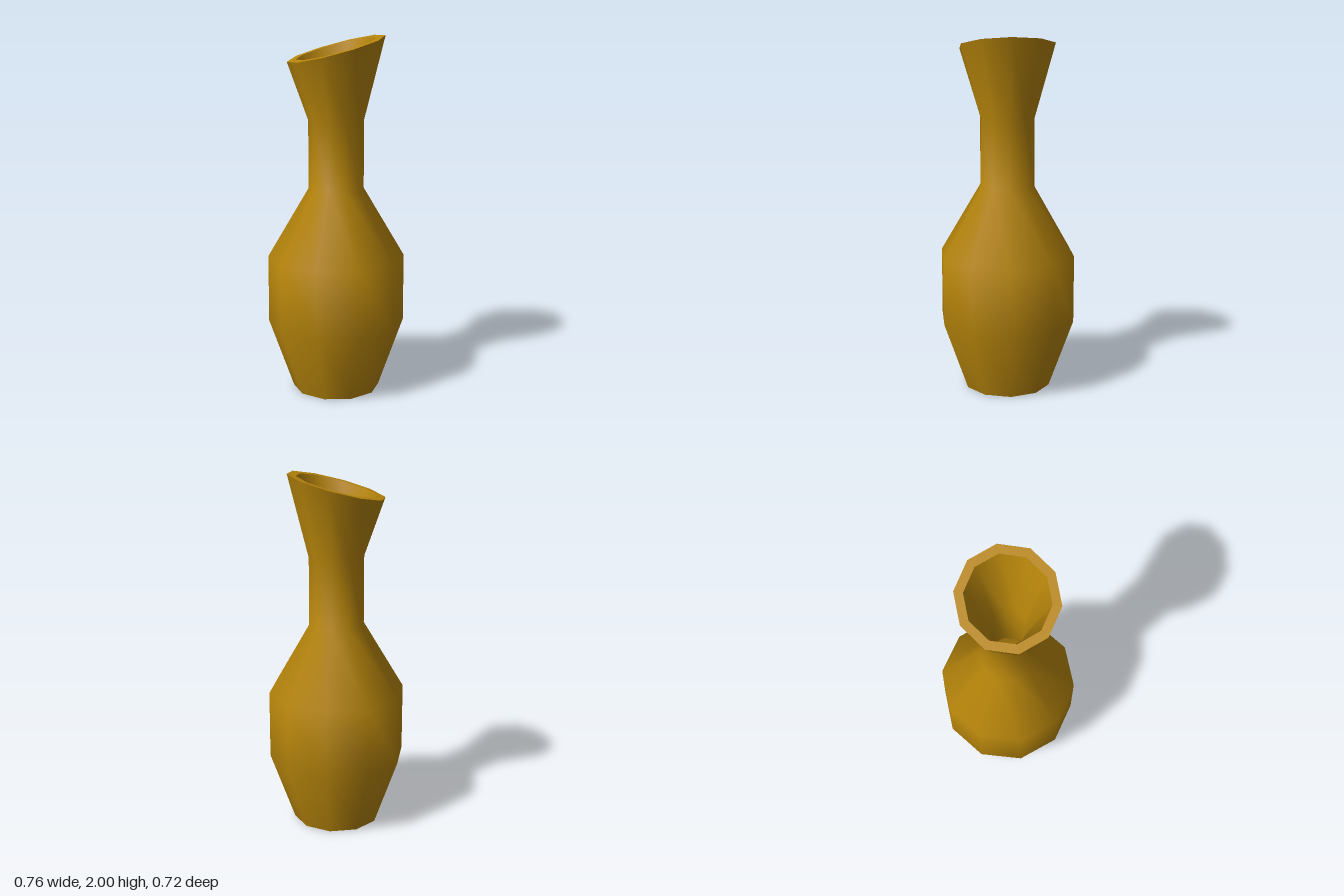
import * as THREE from 'three';
import { toCreasedNormals } from 'three/addons/utils/BufferGeometryUtils.js';

const SIDES = 10;
const RIM_Y = 1.93;
const SLANT = 0.265;

export function createModel() {
  const group = new THREE.Group();
  group.name = 'vase';
  const material = new THREE.MeshStandardMaterial({ color: 0xb8860b });

  // Ten-sided turned surface; vertices at the mouth are sheared into a slant
  function turned(name, profile, crease) {
    const points = profile.map(([r, y]) => new THREE.Vector2(r, y));
    const geometry = new THREE.LatheGeometry(points, SIDES, Math.PI / 2);
    const pos = geometry.attributes.position;
    for (let i = 0; i < pos.count; i++) {
      if (pos.getY(i) > RIM_Y - 0.01) pos.setY(i, RIM_Y + SLANT * pos.getX(i));
    }
    const mesh = new THREE.Mesh(toCreasedNormals(geometry, crease), material);
    mesh.name = name;
    group.add(mesh);
  }

  // Outer wall: foot, belly, shoulder, neck and flared mouth
  turned('outerWall', [
    [0.243, 0], [0.381, 0.39], [0.381, 0.77], [0.153, 1.16], [0.153, 1.54], [0.267, RIM_Y],
  ], Math.PI);

  // Flat slanted lip
  turned('rim', [[0.267, RIM_Y], [0.219, RIM_Y]], 0.3);

  // Inner wall, running down to the floor
  turned('innerWall', [
    [0.219, RIM_Y], [0.102, 1.55], [0.102, 1.15], [0.33, 0.755], [0.33, 0.4], [0.21, 0.07], [0, 0.07],
  ], Math.PI);

  // Shallow recess under the foot
  turned('underside', [[0, 0.06], [0.264, 0.06], [0.243, 0]], 0.7);

  return group;
}
